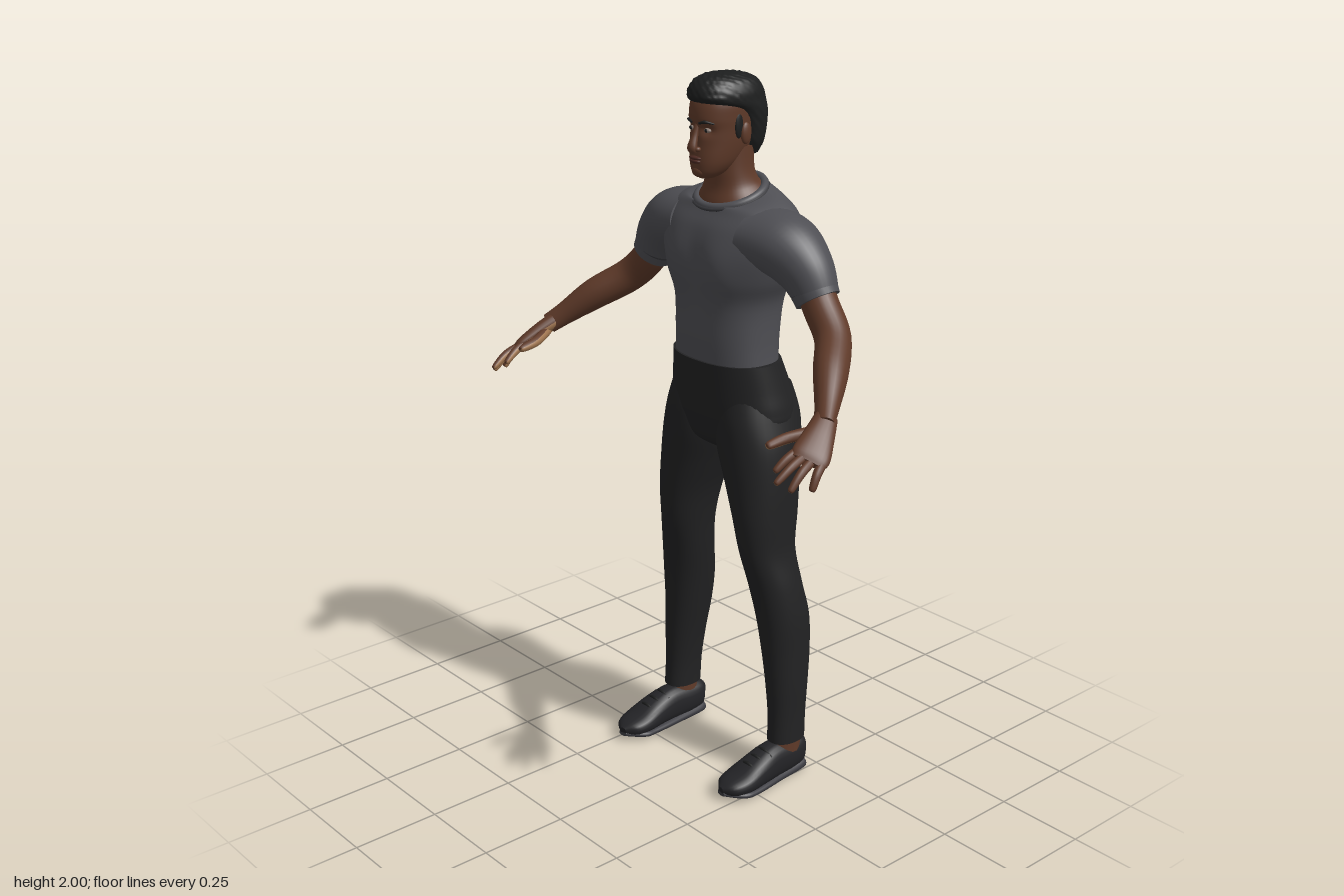
import * as THREE from 'three';

const mat = (name, color) => Object.assign(new THREE.MeshStandardMaterial({ color }), { name });
const M = {
  skin: mat('brown skin', 0x5f3a29), palm: mat('pale palm', 0xa0754f), lips: mat('lips', 0x4d2a23),
  shirt: mat('grey shirt', 0x4e4e53), trim: mat('dark shirt seam', 0x39393d),
  pants: mat('black trousers', 0x222223), hair: mat('black hair', 0x1d1e1e),
  shoe: mat('dark shoe', 0x232326), sole: mat('shoe sole', 0x3a3a40), eye: mat('eye white', 0x8c7d74),
};
const V = (x, y, z) => new THREE.Vector3(x, y, z);
const bell = (d, w) => Math.exp(-(d * d) / (w * w));

// Catmull-Rom interpolation of rows of numbers
function smooth(rows, k) {
  const out = [], at = i => rows[Math.min(rows.length - 1, Math.max(0, i))];
  for (let i = 0; i < rows.length - 1; i++) {
    for (let s = 0; s < k; s++) {
      const t = s / k, [a, b, c, d] = [at(i - 1), at(i), at(i + 1), at(i + 2)];
      out.push(b.map((q, n) => q + 0.5 * t * (c[n] - a[n] + t * (2 * a[n] - 5 * q + 4 * c[n] - d[n]
        + t * (3 * (q - c[n]) + d[n] - a[n])))));
    }
  }
  out.push(rows[rows.length - 1]);
  return out;
}

// Closed skin over rings of points; with split, the lower arc becomes material group 1
function skinRings(rings, split) {
  const n = rings[0].length, pos = [], main = [], low = [];
  rings.forEach(r => r.forEach(p => pos.push(p.x, p.y, p.z)));
  for (let i = 0; i < rings.length - 1; i++) {
    for (let j = 0; j < n; j++) {
      const a = i * n + j, b = i * n + (j + 1) % n, c = a + n, d = b + n;
      const under = split && Math.sin((j + 0.5) / n * Math.PI * 2) < -0.25;
      (under ? low : main).push(a, b, c, b, d, c);
    }
  }
  [rings[0], rings[rings.length - 1]].forEach((r, end) => {
    const base = pos.length / 3, mid = V(0, 0, 0);
    r.forEach(p => { pos.push(p.x, p.y, p.z); mid.addScaledVector(p, 1 / n); });
    pos.push(mid.x, mid.y, mid.z);
    for (let j = 0; j < n; j++) {
      const a = base + j, b = base + (j + 1) % n;
      main.push(base + n, end ? a : b, end ? b : a);
    }
  });
  const g = new THREE.BufferGeometry();
  g.setAttribute('position', new THREE.Float32BufferAttribute(pos, 3));
  g.setIndex([...main, ...low]);
  if (split) {
    g.addGroup(0, main.length, 0);
    g.addGroup(main.length, low.length, 1);
  }
  g.computeVertexNormals();
  return g;
}
const oval = (th, e) => [Math.cos(th), Math.sin(th)].map(q => Math.sign(q) * Math.abs(q) ** (2 / e));

// Horizontal sections, bottom to top: [y, centre x, half width, front z, back z, tilt]
function loft(rows, { n = 40, k = 5, e = 2.2, bend } = {}) {
  return skinRings(smooth(rows.map(r => [...r, 0].slice(0, 6)), k).map(([y, cx, w, zf, zb, tilt]) =>
    Array.from({ length: n }, (_, j) => {
      const [c, s] = oval(j / n * Math.PI * 2, e);
      const p = V(cx + w * c, y + tilt * s, (zf + zb) / 2 - (zf - zb) / 2 * s);
      if (bend) bend(p);
      return p;
    })));
}

// Limb along a path: [x, y, z, radius along ref, other radius]
function limb(rows, ref, { n = 16, k = 5, e = 2, split = false } = {}) {
  const st = smooth(rows, k), P = st.map(r => V(r[0], r[1], r[2]));
  return skinRings(st.map((r, i) => {
    const t = P[Math.min(i + 1, P.length - 1)].clone().sub(P[Math.max(i - 1, 0)]).normalize();
    const u = ref.clone().addScaledVector(t, -ref.dot(t)).normalize(), v = t.clone().cross(u);
    return Array.from({ length: n }, (_, j) => {
      const [c, s] = oval(j / n * Math.PI * 2, e);
      return P[i].clone().addScaledVector(u, c * Math.max(r[3], 0.001)).addScaledVector(v, s * Math.max(r[4], 0.001));
    });
  }), split);
}
const ball = (x, y, z, a, b, c) => new THREE.SphereGeometry(1, 16, 12).scale(a, b, c).translate(x, y, z);

function mirrored(g) {
  const m = g.clone().scale(-1, 1, 1), ix = m.index.array;
  for (let i = 0; i < ix.length; i += 3) [ix[i], ix[i + 1]] = [ix[i + 1], ix[i]];
  m.computeVertexNormals();
  return m;
}

export function createModel() {
  const model = new THREE.Group();
  model.name = 'standing man';
  const add = (name, g, m) => {
    const mesh = new THREE.Mesh(g, m);
    mesh.name = name;
    model.add(mesh);
  };
  const pair = (name, g, m) => {
    add('left ' + name, g, m);
    add('right ' + name, mirrored(g), m);
  };

  // Shirt body with chest muscles and a groove down the spine
  add('shirt body', loft([
    [1.22, 0, 0.16, -0.004, -0.218], [1.3, 0, 0.157, 0, -0.224], [1.4, 0, 0.163, 0, -0.236],
    [1.47, 0, 0.195, 0.007, -0.246], [1.54, 0, 0.218, 0.005, -0.256], [1.6, 0, 0.222, -0.01, -0.258],
    [1.645, 0, 0.2, -0.032, -0.243, 0.005], [1.672, 0, 0.15, -0.04, -0.225, 0.015],
    [1.682, 0, 0.1, -0.04, -0.208, 0.03],
  ], {
    n: 64, e: 2.4, bend: p => {
      const up = bell(p.y - 1.5, 0.08);
      if (p.z > -0.1) p.z += 0.012 * up * (bell(Math.abs(p.x) - 0.08, 0.06) - 0.3 * bell(p.x, 0.03));
      else p.z += 0.02 * bell(p.x, 0.03) * bell(p.y - 1.5, 0.18);
    },
  }), M.shirt);

  // Sleeves with hem bands
  const out = V(0.8, 0.55, 0);
  pair('sleeve', limb([
    [0.12, 1.585, -0.12, 0.08, 0.105], [0.215, 1.568, -0.125, 0.086, 0.097],
    [0.285, 1.518, -0.128, 0.076, 0.075], [0.33, 1.452, -0.128, 0.06, 0.056],
  ], out, { n: 32, k: 8 }), M.shirt);
  pair('sleeve hem', limb([[0.317, 1.472, -0.128, 0.065, 0.061], [0.331, 1.45, -0.128, 0.062, 0.058]], out, { n: 32, k: 2 }), M.shirt);
  pair('sleeve seam', limb([[0.313, 1.479, -0.128, 0.0655, 0.0615], [0.317, 1.473, -0.128, 0.0655, 0.0615]], out, { n: 32, k: 1 }), M.trim);

  // Collar following the tilted neck opening
  const ring = (rx, rz, dy) => new THREE.CatmullRomCurve3(Array.from({ length: 24 }, (_, i) => {
    const a = i / 24 * Math.PI * 2, s = Math.sin(a);
    return V(rx * Math.cos(a), 1.683 + dy - 0.031 * s, -0.122 + rz * s);
  }), true);
  add('collar', new THREE.TubeGeometry(ring(0.097, 0.084, 0), 64, 0.011, 10, true), M.shirt);
  add('collar seam', new THREE.TubeGeometry(ring(0.107, 0.093, -0.005), 64, 0.005, 6, true), M.trim);

  // Trousers
  add('trouser seat', loft([
    [0.965, 0, 0.04, -0.08, -0.15], [1.0, 0, 0.13, -0.03, -0.21], [1.06, 0, 0.195, -0.012, -0.255],
    [1.1, 0, 0.2, -0.006, -0.266], [1.16, 0, 0.188, -0.001, -0.254], [1.235, 0, 0.173, 0.004, -0.227],
  ], {
    n: 56, bend: p => { if (p.z < -0.15) p.z += 0.035 * bell(p.x, 0.022) * bell(p.y - 1.05, 0.09); },
  }), M.pants);
  pair('trouser leg', loft([
    [0.12, 0.228, 0.044, -0.085, -0.202], [0.2, 0.226, 0.045, -0.088, -0.205], [0.3, 0.22, 0.052, -0.085, -0.215],
    [0.4, 0.21, 0.06, -0.08, -0.226], [0.5, 0.2, 0.067, -0.07, -0.226], [0.6, 0.185, 0.069, -0.054, -0.208],
    [0.7, 0.167, 0.067, -0.032, -0.2], [0.8, 0.155, 0.077, -0.02, -0.214], [0.9, 0.135, 0.094, -0.016, -0.23],
    [1.0, 0.112, 0.108, -0.012, -0.25], [1.08, 0.101, 0.1, -0.014, -0.258], [1.16, 0.09, 0.088, -0.03, -0.24],
  ]), M.pants);

  // Ankles, shoes, soles and laces
  const X = V(1, 0, 0);
  pair('ankle', loft([[0.07, 0.226, 0.036, -0.09, -0.19], [0.15, 0.228, 0.036, -0.1, -0.19]], { n: 20, k: 2 }), M.skin);
  pair('shoe', limb([
    [0.222, 0.06, -0.212, 0.012, 0.02], [0.222, 0.062, -0.2, 0.032, 0.043], [0.223, 0.06, -0.15, 0.041, 0.05],
    [0.225, 0.062, -0.09, 0.043, 0.054], [0.227, 0.054, -0.03, 0.049, 0.044], [0.226, 0.041, 0.03, 0.053, 0.031],
    [0.223, 0.036, 0.075, 0.042, 0.022], [0.22, 0.034, 0.1, 0.012, 0.01],
  ], X, { n: 24, e: 2.4 }), M.shoe);
  pair('shoe sole', limb([
    [0.222, 0.022, -0.212, 0.015, 0.012], [0.222, 0.018, -0.195, 0.036, 0.015], [0.223, 0.014, -0.1, 0.042, 0.014],
    [0.226, 0.014, 0, 0.052, 0.012], [0.225, 0.018, 0.05, 0.052, 0.011], [0.221, 0.025, 0.1, 0.014, 0.007],
  ], X, { n: 20, e: 3 }), M.sole);
  [[-0.06, 0.109], [-0.03, 0.099], [0, 0.087]].forEach(([z, y], i) => pair('shoe lace ' + (i + 1), limb([
    [0.194, y - 0.014, z, 0.004, 0.004], [0.227, y, z + 0.004, 0.005, 0.005], [0.259, y - 0.014, z, 0.004, 0.004],
  ], V(0, 0, 1), { n: 8 }), M.hair));

  // Bare arms
  pair('arm', limb([
    [0.3, 1.505, -0.128, 0.05, 0.048], [0.345, 1.435, -0.126, 0.05, 0.048], [0.41, 1.37, -0.105, 0.048, 0.048],
    [0.48, 1.312, -0.03, 0.044, 0.046], [0.535, 1.255, 0.035, 0.033, 0.032], [0.565, 1.223, 0.075, 0.03, 0.024],
  ], out, { n: 24 }), M.skin);

  // Hands with paler palms
  const across = V(0.77, -0.4, -0.5), handSkin = [M.skin, M.palm];
  pair('hand', limb([
    [0.556, 1.232, 0.06, 0.03, 0.024], [0.576, 1.205, 0.1, 0.039, 0.022],
    [0.597, 1.17, 0.148, 0.049, 0.018], [0.605, 1.157, 0.168, 0.042, 0.01],
  ], across, { n: 24, e: 2.3, split: true }), handSkin);
  const digits = {
    thumb: [[0.556, 1.207, 0.09], [0.522, 1.195, 0.155], [0.512, 1.185, 0.218]],
    'index finger': [[0.571, 1.181, 0.16], [0.565, 1.163, 0.2], [0.56, 1.137, 0.236]],
    'middle finger': [[0.588, 1.172, 0.152], [0.592, 1.152, 0.21], [0.589, 1.12, 0.26]],
    'ring finger': [[0.604, 1.162, 0.145], [0.614, 1.14, 0.197], [0.617, 1.102, 0.238]],
    'little finger': [[0.622, 1.155, 0.132], [0.633, 1.133, 0.163], [0.639, 1.096, 0.186]],
  };
  for (const [name, [a, b, c]] of Object.entries(digits)) {
    const near = c.map((q, i) => q + (b[i] - q) * 0.12), r = name === 'thumb' ? 0.0145 : 0.0115;
    pair(name, limb([[...a, r * 1.1, r], [...b, r, r], [...near, r * 0.75, r * 0.7], [...c, 0.002, 0.002]],
      across, { n: 12, split: true }), handSkin);
  }

  // Neck and head
  add('neck', loft([
    [1.65, 0, 0.1, -0.045, -0.2, 0.03], [1.682, 0, 0.094, -0.045, -0.2, 0.025], [1.71, 0, 0.075, -0.056, -0.19, 0.01],
    [1.75, 0, 0.066, -0.057, -0.178], [1.81, 0, 0.064, -0.06, -0.178],
  ]), M.skin);
  add('head', loft([
    [1.73, 0, 0.018, -0.015, -0.06], [1.743, 0, 0.038, 0, -0.09], [1.765, 0, 0.053, 0.004, -0.12],
    [1.79, 0, 0.062, 0.004, -0.15], [1.825, 0, 0.069, 0.001, -0.18], [1.86, 0, 0.072, 0.001, -0.195],
    [1.89, 0, 0.074, 0.004, -0.2], [1.93, 0, 0.073, -0.004, -0.195], [1.965, 0, 0.055, -0.03, -0.17],
    [1.98, 0, 0.02, -0.07, -0.13],
  ], {
    n: 64, bend: p => {
      if (p.z > -0.06) p.z -= 0.011 * bell(Math.abs(p.x) - 0.03, 0.016) * bell(p.y - 1.86, 0.013);
    },
  }), M.skin);

  // Face
  add('nose', limb([
    [0, 1.876, -0.004, 0.008, 0.006], [0, 1.845, 0.004, 0.009, 0.009], [0, 1.815, 0.014, 0.014, 0.012],
    [0, 1.803, 0.01, 0.012, 0.009],
  ], X, { n: 16 }), M.skin);
  pair('nostril', ball(0.013, 1.81, 0.006, 0.008, 0.007, 0.009), M.skin);
  pair('eye', ball(0.03, 1.859, -0.013, 0.012, 0.006, 0.007), M.eye);
  pair('iris', ball(0.03, 1.859, -0.0075, 0.005, 0.005, 0.003), M.hair);
  pair('eyebrow', limb([[0.014, 1.877, 0.003, 0.003, 0.003], [0.032, 1.882, -0.002, 0.004, 0.004],
    [0.05, 1.877, -0.018, 0.002, 0.003]], V(0, 1, 0), { n: 8 }), M.hair);
  add('upper lip', ball(0, 1.786, 0.004, 0.022, 0.0055, 0.009), M.lips);
  add('lower lip', ball(0, 1.777, 0.003, 0.019, 0.006, 0.009), M.lips);
  add('chin', ball(0, 1.75, -0.008, 0.022, 0.016, 0.014), M.skin);
  pair('ear', ball(0.076, 1.847, -0.105, 0.009, 0.029, 0.017).rotateY(0.02), M.skin);

  // Short curly hair, slightly lumpy
  add('hair', loft([
    [1.785, 0, 0.052, -0.13, -0.19], [1.82, 0, 0.07, -0.115, -0.204], [1.87, 0, 0.079, -0.1, -0.212],
    [1.905, 0, 0.082, -0.065, -0.216], [1.93, 0, 0.083, 0, -0.215], [1.955, 0, 0.08, 0.005, -0.207],
    [1.98, 0, 0.066, -0.012, -0.187], [1.994, 0, 0.04, -0.04, -0.15], [1.998, 0, 0.008, -0.08, -0.1],
  ], {
    n: 72, k: 6, bend: p => {
      const d = 0.0018 * Math.sin(p.x * 260) * Math.sin(p.y * 240 + 1) * Math.sin(p.z * 250);
      p.x *= 1 + d * 10;
      p.y += d;
      p.z += d;
    },
  }), M.hair);
  pair('sideburn', ball(0.0705, 1.87, -0.085, 0.006, 0.035, 0.014), M.hair);

  return model;
}
